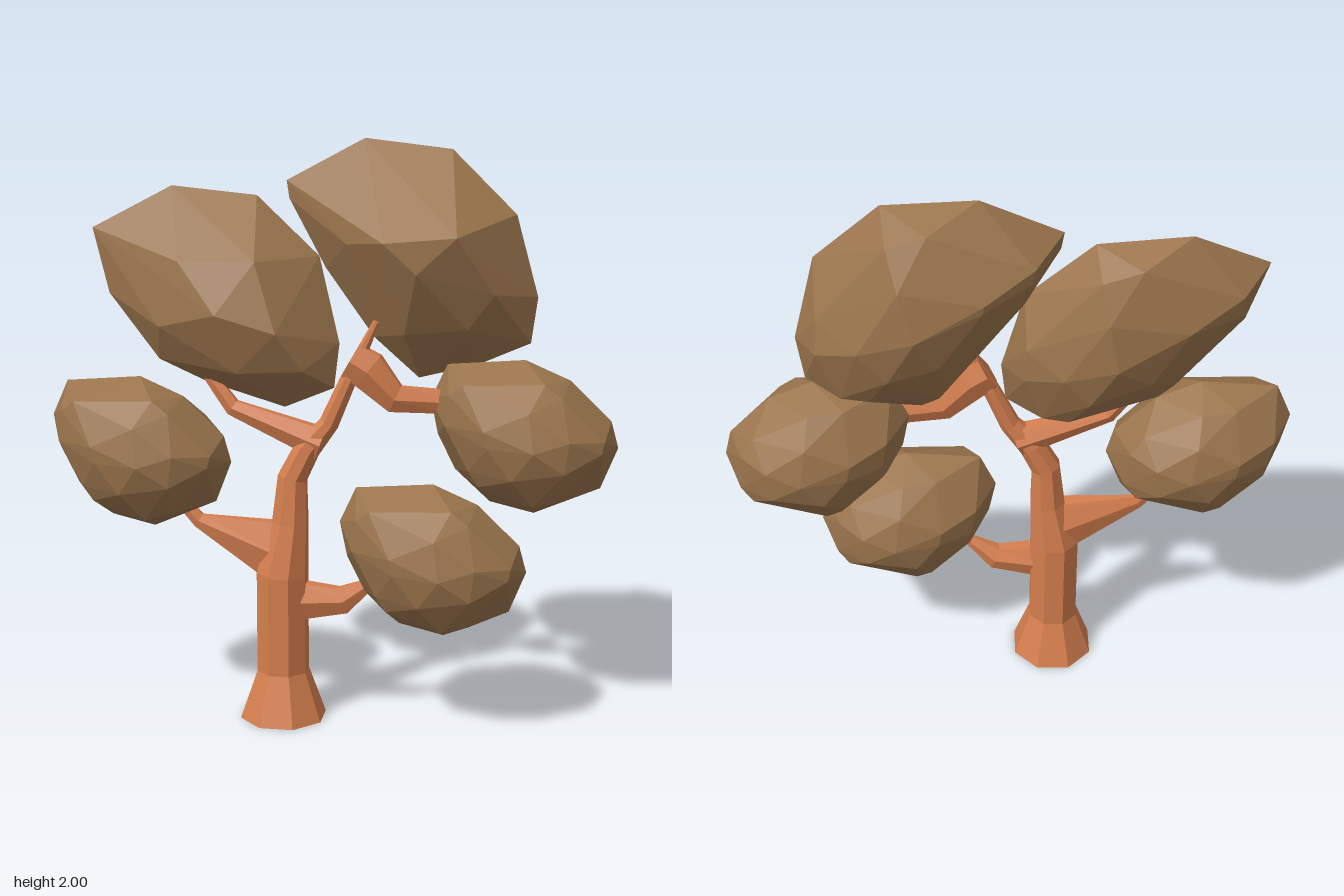
import * as THREE from 'three';
import { ConvexGeometry } from 'three/addons/geometries/ConvexGeometry.js';

const bark = new THREE.MeshStandardMaterial({ color: 0xd47e4e, flatShading: true });
const leaf = new THREE.MeshStandardMaterial({ color: 0x9a744c, flatShading: true });

// Tapered limb: polygon rings along a path of [x, y, z, radius]; depth scales the rings in z
function limb(name, path, sides, depth) {
  const pos = [], idx = [];
  const centres = path.map(([x, y, z]) => new THREE.Vector3(x, y, z));
  path.forEach(([x, y, z, r], i) => {
    const t = new THREE.Vector3();
    if (i > 0) t.add(centres[i].clone().sub(centres[i - 1]).normalize());
    if (i < path.length - 1) t.add(centres[i + 1].clone().sub(centres[i]).normalize());
    t.setZ(0).normalize();
    for (let j = 0; j < sides; j++) {
      const a = ((j + 0.5) / sides) * Math.PI * 2;
      const u = Math.cos(a) * r;
      pos.push(x + t.y * u, y - t.x * u, z + Math.sin(a) * r * depth);
    }
  });
  const last = (path.length - 1) * sides;
  for (let j = 0; j < sides; j++) {
    const k = (j + 1) % sides;
    for (let i = 0; i < last; i += sides) {
      idx.push(i + j, i + sides + j, i + k, i + k, i + sides + j, i + sides + k);
    }
    // End caps
    if (j > 0 && j < sides - 1) idx.push(0, j, k, last, last + k, last + j);
  }
  const geo = new THREE.BufferGeometry();
  geo.setAttribute('position', new THREE.Float32BufferAttribute(pos, 3));
  geo.setIndex(idx);
  const flat = geo.toNonIndexed();
  flat.computeVertexNormals();
  const mesh = new THREE.Mesh(flat, bark);
  mesh.name = name;
  return mesh;
}

// Faceted leaf clump: hull of an outline of [x, y, z] with shrinking, staggered rings
// to the back and front; a list of front points can replace the front rings
function clump(name, outline, centre, depth, front) {
  const c = new THREE.Vector3(...centre);
  const rim = outline.map((p) => new THREE.Vector3(...p));
  const pts = [...rim];
  const add = (p, s, h) => {
    const q = c.clone().lerp(p, s);
    q.z += h * depth;
    pts.push(q);
  };
  for (const side of front ? [-1] : [-1, 1]) {
    rim.forEach((p, i) => {
      const mid = p.clone().lerp(rim[(i + 1) % rim.length], 0.5);
      if ((i % 2 === 0) === (side > 0)) add(mid, 0.87, side * 0.53);
      else add(p, 0.8, side * 0.58);
      if (i % 2 === 0) add(p, 0.46, side * 0.87);
    });
    add(c, 1, side);
  }
  if (front) pts.push(...front.map((p) => new THREE.Vector3(...p)));
  const mesh = new THREE.Mesh(new ConvexGeometry(pts), leaf);
  mesh.name = name;
  return mesh;
}

export function createModel() {
  const tree = new THREE.Group();
  tree.name = 'tree';

  // Trunk with flared foot and bent, tapering top
  tree.add(limb('trunk', [
    [-0.165, 0, 0.055, 0.153], [-0.165, 0.17, 0.055, 0.092], [-0.165, 0.52, 0.055, 0.092],
    [-0.138, 0.7, 0.05, 0.065], [-0.13, 0.86, 0.045, 0.053], [-0.08, 0.96, 0.04, 0.048],
    [-0.005, 1.05, 0.04, 0.036], [0.06, 1.2, 0.035, 0.03], [0.155, 1.4, 0.03, 0.012],
  ], 8, 1));

  // Branches
  tree.add(limb('lowerLeftBranch', [
    [-0.14, 0.585, 0.05, 0.135], [-0.46, 0.695, 0.05, 0.03], [-0.56, 0.8, 0.05, 0.02]], 6, 0.5));
  tree.add(limb('upperLeftBranch', [
    [-0.03, 0.98, 0.04, 0.062], [-0.34, 1.095, 0.03, 0.032], [-0.45, 1.24, 0.02, 0.022]], 6, 0.8));
  tree.add(limb('upperRightBranch', [
    [0.07, 1.27, 0.035, 0.07], [0.13, 1.235, 0.033, 0.075], [0.22, 1.14, 0.025, 0.055],
    [0.4, 1.13, 0, 0.045]], 6, 0.65));
  tree.add(limb('lowerRightBranch', [
    [-0.14, 0.425, 0.055, 0.082], [0.05, 0.435, 0.06, 0.053], [0.14, 0.5, 0.075, 0.023],
    [0.22, 0.57, 0.09, 0.02]], 6, 0.65));

  // Three matching small clumps
  const small = [[0.045, 0.73], [0.1, 0.85], [0.36, 0.87], [0.51, 0.805], [0.65, 0.67],
    [0.675, 0.58], [0.62, 0.44], [0.4, 0.345], [0.25, 0.38], [0.13, 0.49], [0.07, 0.61]];
  for (const [name, dx, dy, z] of [
    ['lowerRightLeaves', 0, 0, 0.115],
    ['lowerLeftLeaves', -1.015, 0.33, 0.065],
    ['middleRightLeaves', 0.29, 0.405, -0.025],
  ]) {
    tree.add(clump(name, small.map(([x, y]) => [x + dx, y + dy, z]),
      [0.4 + dx, 0.595 + dy, z], 0.225));
  }

  // Two large clumps at the top, with broad facets in front
  tree.add(clump('upperLeftLeaves', [
    [-0.83, 1.7, 0], [-0.57, 1.84, -0.08], [-0.27, 1.81, -0.07], [-0.05, 1.61, -0.04],
    [0.025, 1.32, 0], [0.01, 1.17, 0.02], [-0.16, 1.1, 0.02], [-0.43, 1.18, 0.02],
    [-0.59, 1.26, 0.05], [-0.77, 1.48, 0.02],
  ], [-0.34, 1.45, -0.025], 0.228, [
    [-0.36, 1.43, 0.205], [-0.16, 1.37, 0.19], [-0.24, 1.6, 0.13], [-0.5, 1.6, 0.13],
    [-0.57, 1.38, 0.13], [-0.3, 1.23, 0.145], [-0.08, 1.24, 0.13],
  ]));
  tree.add(clump('topLeaves', [
    [-0.17, 1.86, -0.085], [0.09, 2, -0.14], [0.39, 1.965, -0.1], [0.61, 1.755, -0.04],
    [0.685, 1.48, -0.07], [0.665, 1.325, -0.07], [0.49, 1.25, -0.06], [0.29, 1.2, -0.06],
    [0.14, 1.34, -0.03], [-0.03, 1.57, -0.05], [-0.16, 1.8, -0.08],
  ], [0.29, 1.62, -0.085], 0.255, [
    [0.19, 1.67, 0.165], [0.43, 1.69, 0.165], [0.3, 1.57, 0.165], [0.06, 1.66, 0.08],
    [0.55, 1.5, 0.07], [0.25, 1.36, 0.05], [0.46, 1.38, 0.05],
  ]));

  return tree;
}
